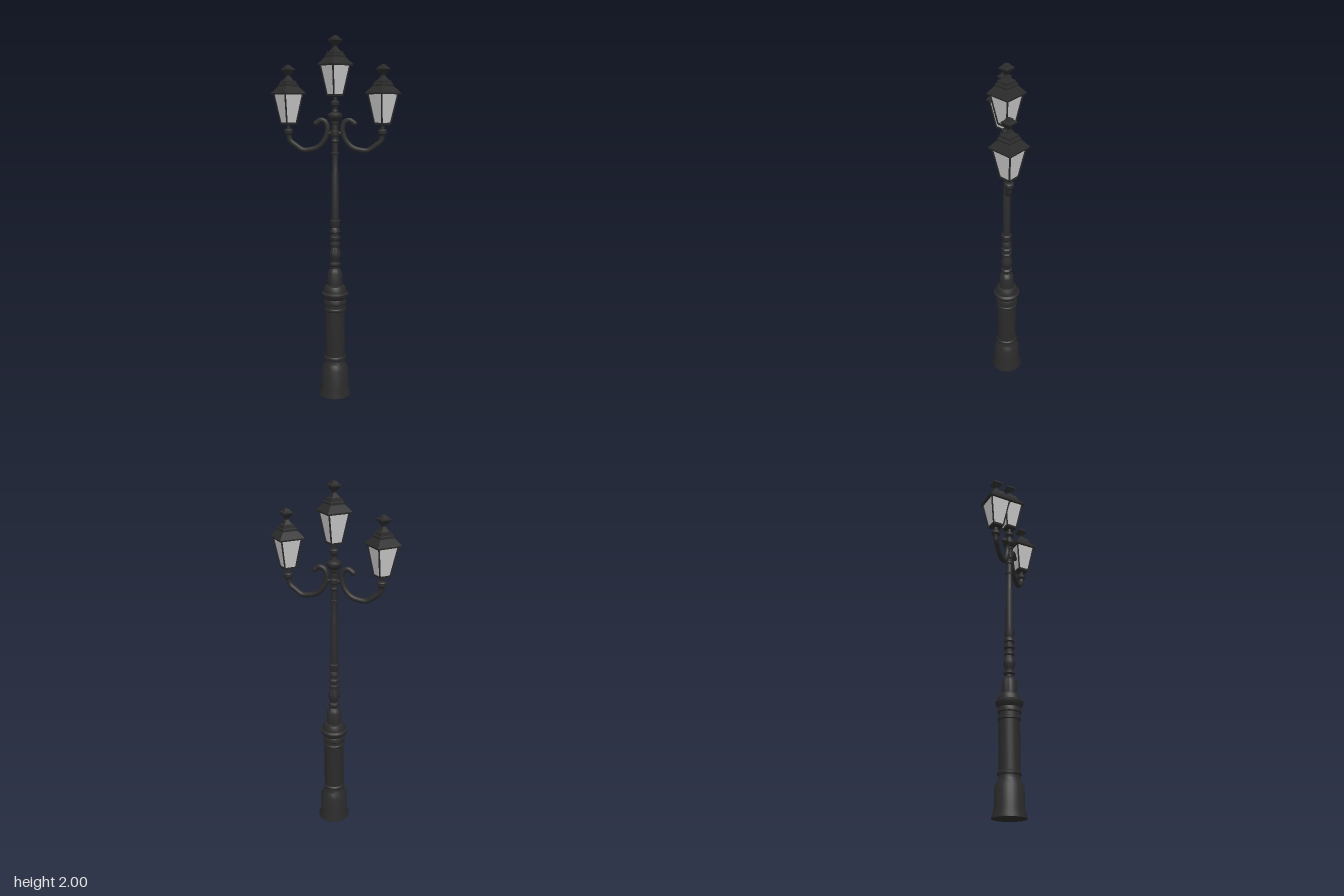
import * as THREE from 'three';
import { toCreasedNormals } from 'three/addons/utils/BufferGeometryUtils.js';

const iron = new THREE.MeshStandardMaterial({ color: 0x2a2a2a });
const ironFlat = new THREE.MeshStandardMaterial({ color: 0x2a2a2a, flatShading: true });
const glassMat = new THREE.MeshStandardMaterial({ color: 0xcccccc, flatShading: true });

function add(parent, name, geometry, material) {
  const mesh = new THREE.Mesh(geometry, material);
  mesh.name = name;
  parent.add(mesh);
  return mesh;
}

// Turned part from [radius, height] pairs, bottom to top
function turned(pairs, sides) {
  const lathe = new THREE.LatheGeometry(pairs.map(([r, y]) => new THREE.Vector2(r, y)), sides);
  return sides > 4 ? toCreasedNormals(lathe, 0.6) : lathe;
}

// Straight bar between two points
function bar(parent, name, a, b, radius) {
  const mesh = add(parent, name, new THREE.CylinderGeometry(radius, radius, a.distanceTo(b), 4), ironFlat);
  mesh.position.copy(a).lerp(b, 0.5);
  mesh.quaternion.setFromUnitVectors(new THREE.Vector3(0, 1, 0), b.clone().sub(a).normalize());
}

// Square lantern turned corner-on; y = 0 is the bottom of the glass
function makeLantern() {
  const g = new THREE.Group();
  const bottomR = 0.042, topR = 0.079, h = 0.16;

  add(g, 'glass', turned([[0, 0.002], [bottomR - 0.002, 0.002], [topR - 0.002, h], [0, h]], 4), glassMat);
  add(g, 'bottomRim', turned([[0, -0.005], [0.043, -0.005], [0.045, 0.006], [0, 0.006]], 4), ironFlat);

  // Stepped roof with its square finial
  add(g, 'roof', turned([
    [0, 0.154], [0.094, 0.154], [0.096, 0.162], [0.06, 0.194], [0.056, 0.197],
    [0.056, 0.207], [0.047, 0.212], [0.044, 0.225], [0.03, 0.229], [0.022, 0.237], [0.011, 0.251],
    [0.012, 0.257], [0.038, 0.283], [0.038, 0.289], [0.022, 0.297], [0.018, 0.304], [0, 0.312],
  ], 4), ironFlat);

  // Corner bars of the frame
  for (let i = 0; i < 4; i++) {
    const x = Math.sin(i * Math.PI / 2), z = Math.cos(i * Math.PI / 2);
    bar(g, 'cornerBar', new THREE.Vector3(x * bottomR, 0, z * bottomR),
      new THREE.Vector3(x * topR, h, z * topR), 0.0045);
  }

  // Round stem and cup below the glass
  add(g, 'stem', turned([
    [0, -0.078], [0.013, -0.075], [0.016, -0.06], [0.024, -0.052], [0.025, -0.036],
    [0.02, -0.03], [0.01, -0.027], [0.01, -0.01], [0.02, -0.004], [0, -0.004],
  ], 12), iron);
  return g;
}

// Scrolled arm reaching out to one side
function makeArm(side) {
  const g = new THREE.Group();
  const path = [
    [0.254, 1.475], [0.248, 1.447], [0.215, 1.42], [0.178, 1.396], [0.135, 1.398], [0.095, 1.411],
    [0.062, 1.443], [0.045, 1.48], [0.04, 1.515], [0.052, 1.547], [0.078, 1.557], [0.104, 1.54],
  ].map(([x, y]) => new THREE.Vector3(x * side, y, 0));
  add(g, 'scrollArm', new THREE.TubeGeometry(new THREE.CatmullRomCurve3(path), 30, 0.0145, 10), iron);

  const tip = add(g, 'scrollTip', new THREE.SphereGeometry(0.0155, 10, 8), iron);
  tip.position.copy(path[path.length - 1]);

  const bracket = add(g, 'armBracket', new THREE.CylinderGeometry(0.012, 0.012, 0.045, 10), iron);
  bracket.rotation.z = Math.PI / 2;
  bracket.position.set(side * 0.022, 1.486, 0);
  return g;
}

export function createModel() {
  const model = new THREE.Group();
  model.name = 'streetLamp';

  // Wide pedestal with flared foot and moulded collar
  add(model, 'pedestal', turned([
    [0, 0], [0.09, 0], [0.089, 0.01], [0.077, 0.05], [0.076, 0.155], [0.062, 0.182], [0.057, 0.19],
    [0.057, 0.21], [0.062, 0.215], [0.062, 0.226], [0.056, 0.232], [0.056, 0.495],
    [0.061, 0.5], [0.061, 0.51], [0.057, 0.515], [0.057, 0.535], [0.063, 0.54], [0.063, 0.558],
    [0.059, 0.565], [0.073, 0.582], [0.075, 0.597], [0.064, 0.606], [0.062, 0.625],
    [0.053, 0.64], [0.042, 0.645], [0.04, 0.715], [0.034, 0.728], [0.02, 0.742], [0, 0.742],
  ], 28), iron);

  // Baluster
  add(model, 'baluster', turned([
    [0.022, 0.738], [0.022, 0.75], [0.031, 0.758], [0.031, 0.768], [0.021, 0.776], [0.022, 0.787],
    [0.033, 0.81], [0.032, 0.83], [0.021, 0.862], [0.028, 0.868], [0.028, 0.882], [0.02, 0.888],
    [0.02, 0.9], [0.03, 0.907], [0.03, 0.918], [0.022, 0.925], [0.022, 0.94], [0.029, 0.946],
    [0.026, 0.962], [0.022, 0.97], [0.029, 1.003], [0.029, 1.01], [0.02, 1.016],
  ], 20), iron);

  // Slender shaft with rings and top knob
  add(model, 'shaft', turned([
    [0.021, 1.01], [0.02, 1.27], [0.017, 1.28], [0.017, 1.37], [0.021, 1.373], [0.021, 1.383],
    [0.017, 1.386], [0.017, 1.435], [0.021, 1.44], [0.021, 1.45], [0.018, 1.455], [0.019, 1.47],
    [0.025, 1.476], [0.025, 1.497], [0.019, 1.503], [0.018, 1.535], [0.022, 1.54], [0.022, 1.55],
    [0.03, 1.56], [0.039, 1.573], [0.039, 1.585], [0.03, 1.595], [0.018, 1.6], [0.016, 1.615], [0, 1.615],
  ], 20), iron);

  // Central lantern, then one arm and lantern to each side
  const centre = makeLantern();
  centre.name = 'centreLantern';
  centre.position.y = 1.688;
  model.add(centre);

  for (const side of [1, -1]) {
    const label = side > 0 ? 'left' : 'right';
    const arm = makeArm(side);
    arm.name = label + 'Arm';
    const lantern = makeLantern();
    lantern.name = label + 'Lantern';
    lantern.position.set(side * 0.255, 1.538, 0);
    model.add(arm, lantern);
  }
  return model;
}
